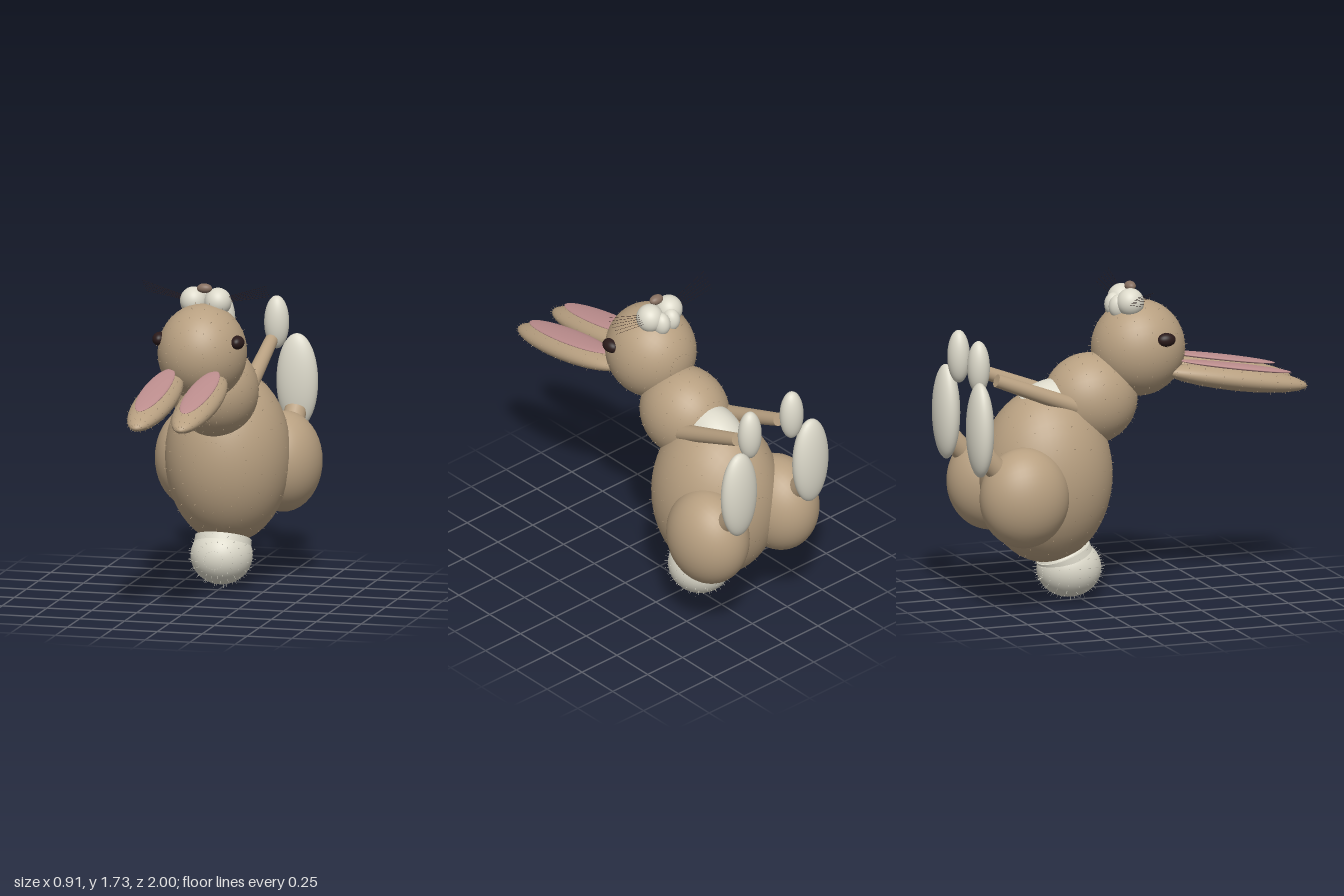
import * as THREE from 'three';
import { mergeGeometries } from 'three/addons/utils/BufferGeometryUtils.js';

const paint = (name, color) => {
  const m = new THREE.MeshStandardMaterial({ color });
  m.name = name;
  return m;
};

export function createModel() {
  const fur = paint('tan fur', 0xb8a081);
  const cream = paint('cream fur', 0xdcd9ca);
  const pink = paint('inner ear pink', 0xbd8e8e);
  const dark = paint('eye dark', 0x2a1a1a);
  const brown = paint('nose brown', 0x866f60);

  const model = new THREE.Group();
  model.name = 'rabbit';
  const add = (name, geometry, material) => {
    const mesh = new THREE.Mesh(geometry, material);
    mesh.name = name;
    model.add(mesh);
    return mesh;
  };

  // Ellipsoid whose pole points along z; tilt turns it about x
  const blob = (name, material, pos, radii, tilt = 0) => {
    const g = new THREE.SphereGeometry(1, 40, 28);
    g.rotateX(Math.PI / 2).scale(...radii).rotateX(tilt).translate(...pos);
    return add(name, g, material);
  };

  // Round rod between two points
  const rod = (name, material, from, to, r0, r1, sides = 24) => {
    const a = new THREE.Vector3(...from), b = new THREE.Vector3(...to);
    const dir = b.clone().sub(a);
    const g = new THREE.CylinderGeometry(r1, r0, dir.length(), sides);
    g.applyQuaternion(new THREE.Quaternion().setFromUnitVectors(
      new THREE.Vector3(0, 1, 0), dir.normalize()));
    g.translate(...a.add(b).multiplyScalar(0.5).toArray());
    return add(name, g, material);
  };

  // Fine hairs standing in rings on an ellipsoid
  const hairs = (name, material, pos, radii, tilt, rings, perRing, length) => {
    const list = [];
    const up = new THREE.Vector3(0, 1, 0);
    const centre = new THREE.Vector3(...pos);
    const lean = new THREE.Quaternion().setFromAxisAngle(new THREE.Vector3(1, 0, 0), tilt);
    for (let i = 1; i < rings; i++) {
      const a = Math.PI * i / rings;
      for (let j = 0; j < perRing; j++) {
        const b = 2 * Math.PI * (j + 0.5) / perRing;
        const d = new THREE.Vector3(Math.sin(a) * Math.cos(b), Math.sin(a) * Math.sin(b), Math.cos(a));
        const p = new THREE.Vector3(d.x * radii[0], d.y * radii[1], d.z * radii[2]);
        const n = new THREE.Vector3(d.x / radii[0], d.y / radii[1], d.z / radii[2]).normalize();
        p.applyQuaternion(lean).add(centre);
        n.applyQuaternion(lean);
        const g = new THREE.ConeGeometry(0.0025, length, 3, 1, true);
        g.translate(0, length * 0.3, 0);
        g.applyQuaternion(new THREE.Quaternion().setFromUnitVectors(up, n));
        g.translate(p.x, p.y, p.z);
        list.push(g);
      }
    }
    return add(name, mergeGeometries(list), material);
  };

  const furry = (name, material, pos, radii, tilt, rings, perRing, length = 0.018) => {
    blob(name, material, pos, radii, tilt);
    hairs(name + 'Hairs', material, pos, radii, tilt, rings, perRing, length);
  };

  // Head, neck, body and chest
  furry('head', fur, [0, 1.37, 0.075], [0.24, 0.263, 0.255], 0, 10, 20);
  furry('neck', fur, [0, 1.11, -0.2], [0.23, 0.25, 0.258], 0, 10, 20);
  furry('body', fur, [0, 0.71, -0.455], [0.338, 0.478, 0.362], 0, 11, 22);
  blob('chest', cream, [0, 1.0, -0.4], [0.177, 0.235, 0.26]);

  // Tail and its collar against the body
  furry('tail', cream, [0, 0.188, -0.322], [0.167, 0.158, 0.175], 0, 10, 20, 0.028);
  rod('tailBase', cream, [0, 0.18, -0.318], [0, 0.278, -0.357], 0.158, 0.152, 40);

  // Nose at the top of the upturned face
  blob('nose', brown, [0, 1.711, 0.03], [0.042, 0.026, 0.029]);

  for (const s of [1, -1]) {
    const side = s > 0 ? 'left' : 'right';

    // Face
    blob(side + 'Eye', dark, [s * 0.216, 1.447, 0.155], [0.038, 0.037, 0.053]);
    blob(side + 'Cheek', cream, [s * 0.068, 1.635, 0.005], [0.073, 0.077, 0.075]);
    blob(side + 'Chin', cream, [s * 0.034, 1.61, -0.05], [0.047, 0.065, 0.053]);
    for (let i = 0; i < 6; i++) {
      const k = i / 5 - 0.5;
      rod(side + 'Whisker', dark, [s * 0.1, 1.645 + k * 0.03, k * 0.04],
        [s * 0.345, 1.705 + k * 0.07, k * 0.07], 0.0012, 0.0008, 4);
    }

    // Ear with a raised pink lining
    furry(side + 'Ear', fur, [s * 0.123, 1.183, 0.588], [0.11, 0.066, 0.416], 0.175, 12, 12, 0.016);
    blob(side + 'EarLining', pink, [s * 0.125, 1.249, 0.588], [0.07, 0.015, 0.327], 0.175);

    // Foreleg and paw
    rod(side + 'Foreleg', fur, [s * 0.145, 1.1, -0.33], [s * 0.148, 1.283, -0.795], 0.046, 0.036);
    blob(side + 'Forepaw', cream, [s * 0.15, 1.365, -0.899], [0.068, 0.145, 0.06]);

    // Hind leg
    blob(side + 'Thigh', fur, [s * 0.25, 0.65, -0.673], [0.207, 0.274, 0.246]);
    rod(side + 'Ankle', fur, [s * 0.255, 0.73, -0.755], [s * 0.255, 0.89, -0.9], 0.06, 0.06);
    blob(side + 'HindFoot', cream, [s * 0.256, 1.043, -0.931], [0.115, 0.26, 0.069]);
  }

  return model;
}
